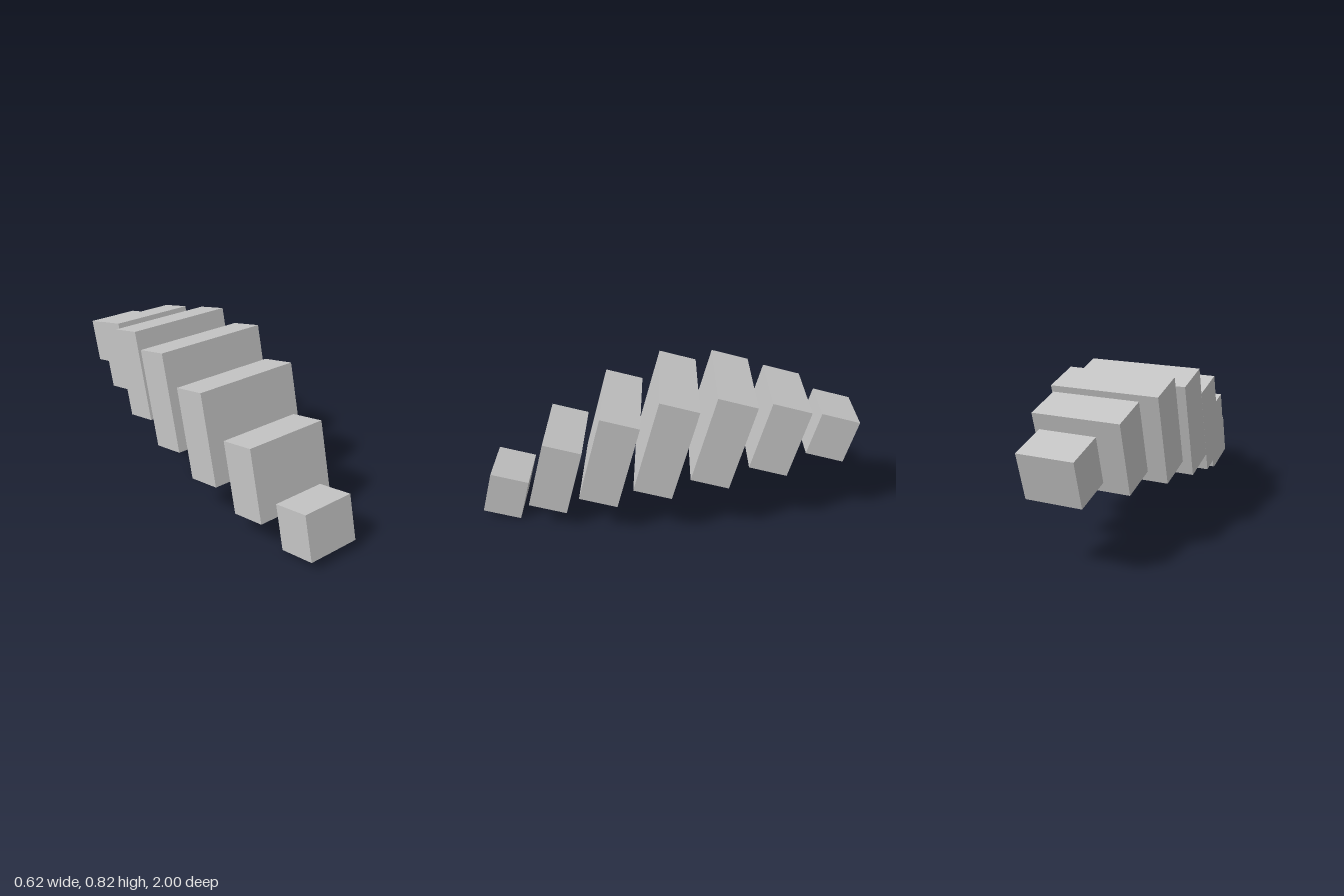
import * as THREE from 'three';

export function createModel() {
  const model = new THREE.Group();
  model.name = 'archedSlabs';
  const grey = new THREE.MeshStandardMaterial({ color: 0xc4c4c4 });
  grey.name = 'grey';

  const depth = 0.207;
  const tilt = -THREE.MathUtils.degToRad(15); // every slab leans back
  // width and height by distance from the middle slab
  const sizes = [[0.618, 0.527], [0.576, 0.488], [0.454, 0.386], [0.288, 0.243]];
  const zOffsets = [0, 0.291, 0.583, 0.87];
  // centre heights along the arch, front to back
  const heights = [0.146, 0.309, 0.442, 0.527, 0.559, 0.547, 0.513];

  heights.forEach((y, i) => {
    const step = Math.abs(i - 3);
    const [width, height] = sizes[step];
    const slab = new THREE.Mesh(new THREE.BoxGeometry(width, height, depth), grey);
    slab.name = `slab${i + 1}`;
    slab.position.set(0, y, Math.sign(3 - i) * zOffsets[step]);
    slab.rotation.x = tilt;
    model.add(slab);
  });
  return model;
}
